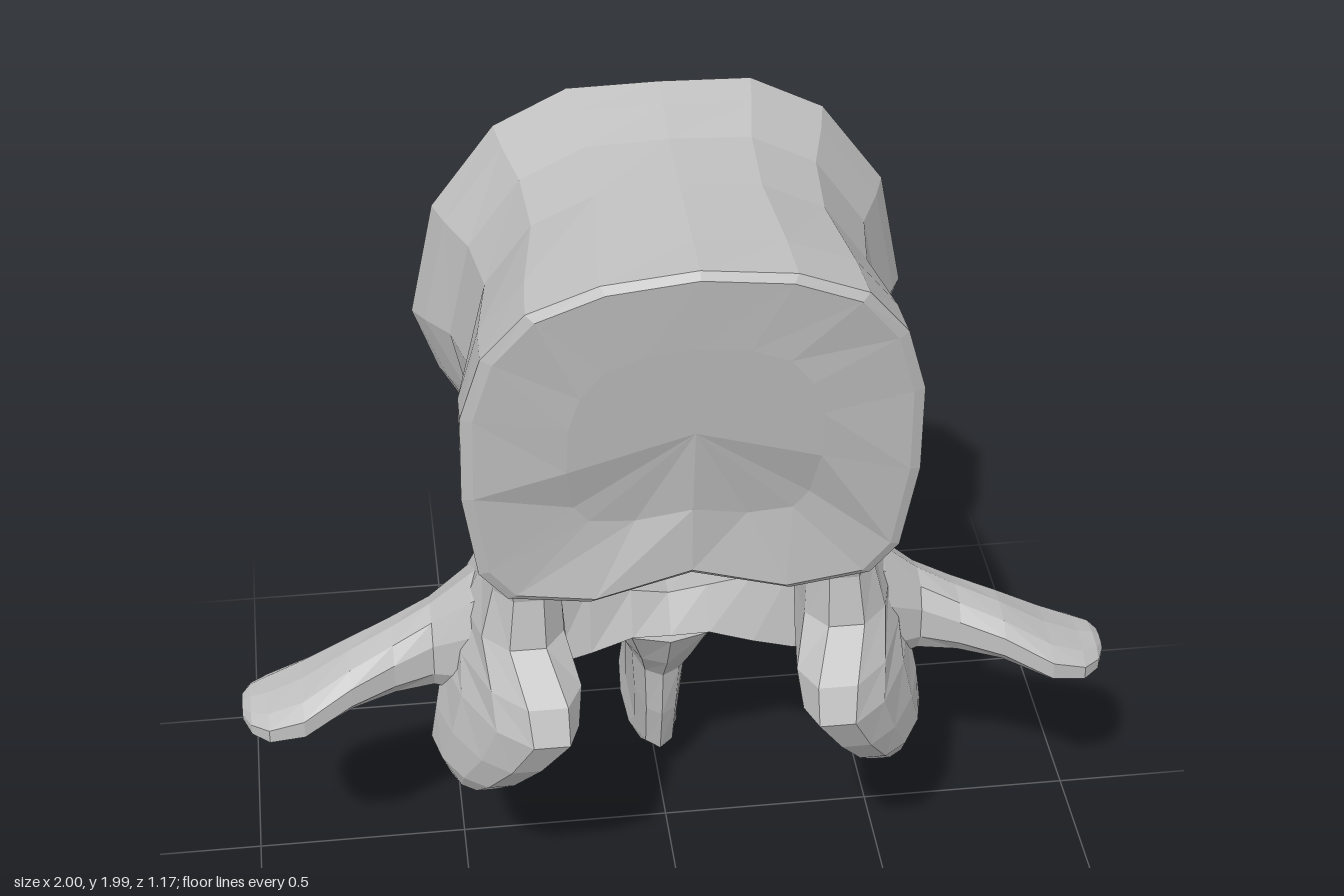
import * as THREE from 'three';

const bone = new THREE.MeshStandardMaterial({ color: 0xc0c0c0, flatShading: true, side: THREE.DoubleSide });
bone.name = 'bone grey';

// Skin a list of closed rings of [x, y, z] points; both ends close at a point
function loft(name, rings, startPoint, endPoint) {
  const n = rings[0].length;
  const pos = rings.flat(2);
  const idx = [];
  for (let r = 0; r < rings.length - 1; r++) {
    for (let i = 0; i < n; i++) {
      const j = (i + 1) % n, a = r * n, b = a + n;
      idx.push(a + i, a + j, b + j, a + i, b + j, b + i);
    }
  }
  const cap = (r, flip, point) => {
    const mean = [0, 1, 2].map(k => rings[r].reduce((s, p) => s + p[k], 0) / n);
    const c = pos.length / 3;
    pos.push(...(point || mean));
    for (let i = 0; i < n; i++) {
      const a = r * n + i, b = r * n + (i + 1) % n;
      idx.push(c, flip ? b : a, flip ? a : b);
    }
  };
  cap(0, true, startPoint);
  cap(rings.length - 1, false, endPoint);

  // Turn the faces outward if the enclosed volume is negative
  const v = i => new THREE.Vector3().fromArray(pos, i * 3);
  let volume = 0;
  for (let i = 0; i < idx.length; i += 3) volume += v(idx[i]).dot(v(idx[i + 1]).cross(v(idx[i + 2])));
  if (volume < 0) idx.reverse();

  const indexed = new THREE.BufferGeometry();
  indexed.setAttribute('position', new THREE.Float32BufferAttribute(pos, 3));
  indexed.setIndex(idx);
  const geometry = indexed.toNonIndexed();
  geometry.computeVertexNormals();
  const mesh = new THREE.Mesh(geometry, bone);
  mesh.name = name;
  return mesh;
}

// Slightly squared oval around centre c with half-axis vectors u and v
function oval(c, u, v, sides = 10) {
  const soft = t => Math.sign(t) * Math.abs(t) ** 0.85;
  return Array.from({ length: sides }, (_, i) => {
    const a = (i / sides) * Math.PI * 2, p = soft(Math.cos(a)), q = soft(Math.sin(a));
    return c.map((k, m) => k + u[m] * p + v[m] * q);
  });
}

const mirrorRings = rings => rings.map(ring => ring.map(([x, y, z]) => [-x, y, z]));
const fullRing = half => [...half, ...half.slice(1, -1).reverse().map(([x, y, z]) => [-x, y, z])];

// Drum-shaped body: front and back rims, top centre to bottom centre
const frontRim = fullRing([
  [0, 1.925, 0.585], [0.2, 1.9, 0.58], [0.35, 1.835, 0.565], [0.44, 1.715, 0.53], [0.485, 1.56, 0.505],
  [0.49, 1.34, 0.485], [0.46, 1.12, 0.46], [0.4, 1.04, 0.45], [0.22, 1.025, 0.465], [0, 1.1, 0.48],
]);
const backRim = fullRing([
  [0, 1.985, -0.12], [0.2, 1.975, -0.13], [0.36, 1.895, -0.13], [0.5, 1.7, -0.14], [0.555, 1.42, -0.16],
  [0.5, 1.26, -0.165], [0.42, 1.12, -0.18], [0.32, 1.09, -0.19], [0.18, 1.085, -0.19], [0, 1.1, -0.15],
]);
// Section of the drum at t (0 front, 1 back), scaled in x and y
const drum = (t, sx, sy) => frontRim.map((f, i) => {
  const [x, y, z] = f.map((k, m) => k + (backRim[i][m] - k) * t);
  return [x * sx, 1.5 + (y - 1.5) * sy, z];
});

function vertebralBody() {
  // Front face: nearly flat, leaning, with shallow hollows beside a low middle ridge
  const face = frontRim.map(([x, y]) => {
    const py = 1.5 + (y - 1.5) * 0.55;
    const hollow = x !== 0 && y < 1.2 ? 0.025 : 0;
    return [x * 0.55, py, 0.515 + 0.16 * (py - 1.5) - hollow];
  });
  // Face, waisted outer wall, back rim, then a rounded bowl inside
  const rings = [
    face, drum(0.01, 0.95, 0.965), drum(0.03, 1, 1), drum(0.2, 0.97, 0.98), drum(0.5, 0.87, 0.95),
    drum(0.75, 0.89, 0.94), drum(0.9, 0.965, 0.975), drum(1, 1, 1), drum(0.985, 0.945, 0.95),
    drum(0.75, 0.83, 0.89), drum(0.5, 0.81, 0.89), drum(0.28, 0.84, 0.87), drum(0.17, 0.6, 0.6),
  ];
  return loft('vertebralBody', rings, [0, 1.5, 0.515], [0, 1.5, 0.43]);
}

// Paired parts, written for +x
const pairs = {
  // y, x, z, half width in x, half depth in z, inward lean of the front edge
  pedicleAndLowerProcess: [
    [1.09, 0.365, 0.235, 0.075, 0.19, 0], [1.0, 0.35, 0.235, 0.09, 0.165, 0],
    [0.88, 0.375, 0.23, 0.11, 0.19, 0.02], [0.79, 0.38, 0.29, 0.12, 0.235, 0.06],
    [0.71, 0.395, 0.345, 0.11, 0.215, 0.08], [0.6, 0.44, 0.34, 0.09, 0.165, 0.07],
    [0.5, 0.475, 0.305, 0.08, 0.125, 0.05], [0.435, 0.48, 0.285, 0.055, 0.075, 0.02],
  ].map(([y, x, z, a, b, lean]) => oval([x, y, z], [a, 0, 0], [-lean, 0, b])),
  // x, y, z, half height in y, half depth in z
  transverseProcess: [
    [0.36, 0.82, 0.21, 0.2, 0.14], [0.47, 0.78, 0.195, 0.155, 0.11], [0.56, 0.745, 0.18, 0.105, 0.08],
    [0.65, 0.72, 0.19, 0.08, 0.085], [0.75, 0.695, 0.215, 0.065, 0.095], [0.86, 0.64, 0.225, 0.058, 0.118],
    [0.94, 0.615, 0.22, 0.045, 0.108], [0.98, 0.61, 0.21, 0.035, 0.08], [1.0, 0.61, 0.2, 0.018, 0.04],
  ].map(([x, y, z, a, b]) => oval([x, y, z], [0, a, 0], [0, 0, b])),
  // z, x, y, half width in x, half height in y, inward lean of the top edge
  rearArticularProcess: [
    [0.14, 0.36, 0.82, 0.07, 0.13, 0], [0.03, 0.335, 0.77, 0.075, 0.12, 0.02],
    [-0.1, 0.325, 0.725, 0.075, 0.115, 0.03], [-0.25, 0.325, 0.71, 0.075, 0.14, 0.045],
    [-0.4, 0.325, 0.705, 0.075, 0.155, 0.045], [-0.5, 0.32, 0.69, 0.065, 0.115, 0.03],
    [-0.56, 0.32, 0.69, 0.045, 0.07, 0], [-0.58, 0.32, 0.69, 0.02, 0.03, 0],
  ].map(([z, x, y, a, b, lean]) => oval([x, y, z], [a, 0, 0], [-lean, b, 0])),
};

// Arch behind the canal, overhanging at the front: [x, [y, z] around each section]
function lamina() {
  const half = [
    [0, [[0.73, 0.05], [0.71, -0.12], [0.6, -0.37], [0.48, -0.34], [0.52, -0.1], [0.64, 0.1]]],
    [0.09, [[0.76, 0.07], [0.73, -0.1], [0.63, -0.39], [0.53, -0.35], [0.56, -0.1], [0.65, 0.11]]],
    [0.19, [[0.8, 0.1], [0.77, -0.08], [0.7, -0.45], [0.56, -0.39], [0.57, -0.1], [0.63, 0.13]]],
    [0.28, [[0.85, 0.14], [0.81, -0.04], [0.76, -0.48], [0.57, -0.4], [0.58, -0.1], [0.62, 0.15]]],
    [0.36, [[0.88, 0.18], [0.82, 0], [0.76, -0.38], [0.58, -0.36], [0.6, -0.1], [0.62, 0.16]]],
  ].map(([x, ring]) => ring.map(([y, z]) => [x, y, z]));
  return loft('lamina', [...mirrorRings(half.slice(1)).reverse(), ...half]);
}

// Blade sloping down and back: front y, z, back y, z, half width
function spinousProcess() {
  const rings = [
    [0.62, 0.1, 0.61, -0.37, 0.16], [0.5, 0.03, 0.55, -0.38, 0.105], [0.4, -0.05, 0.46, -0.44, 0.075],
    [0.26, -0.07, 0.34, -0.51, 0.065], [0.12, -0.11, 0.21, -0.585, 0.06], [0.075, -0.18, 0.1, -0.59, 0.07],
    [0.03, -0.32, 0.04, -0.56, 0.055], [0, -0.4, 0.02, -0.52, 0.03],
  ].map(([fy, fz, by, bz, w]) =>
    oval([0, (fy + by) / 2, (fz + bz) / 2], [w, 0, 0], [0, (fy - by) / 2, (fz - bz) / 2], 12));
  return loft('spinousProcess', rings);
}

export function createModel() {
  const group = new THREE.Group();
  group.name = 'vertebra';
  group.add(vertebralBody(), lamina(), spinousProcess());
  for (const [name, rings] of Object.entries(pairs)) {
    group.add(loft(name + 'Left', rings), loft(name + 'Right', mirrorRings(rings)));
  }
  return group;
}
